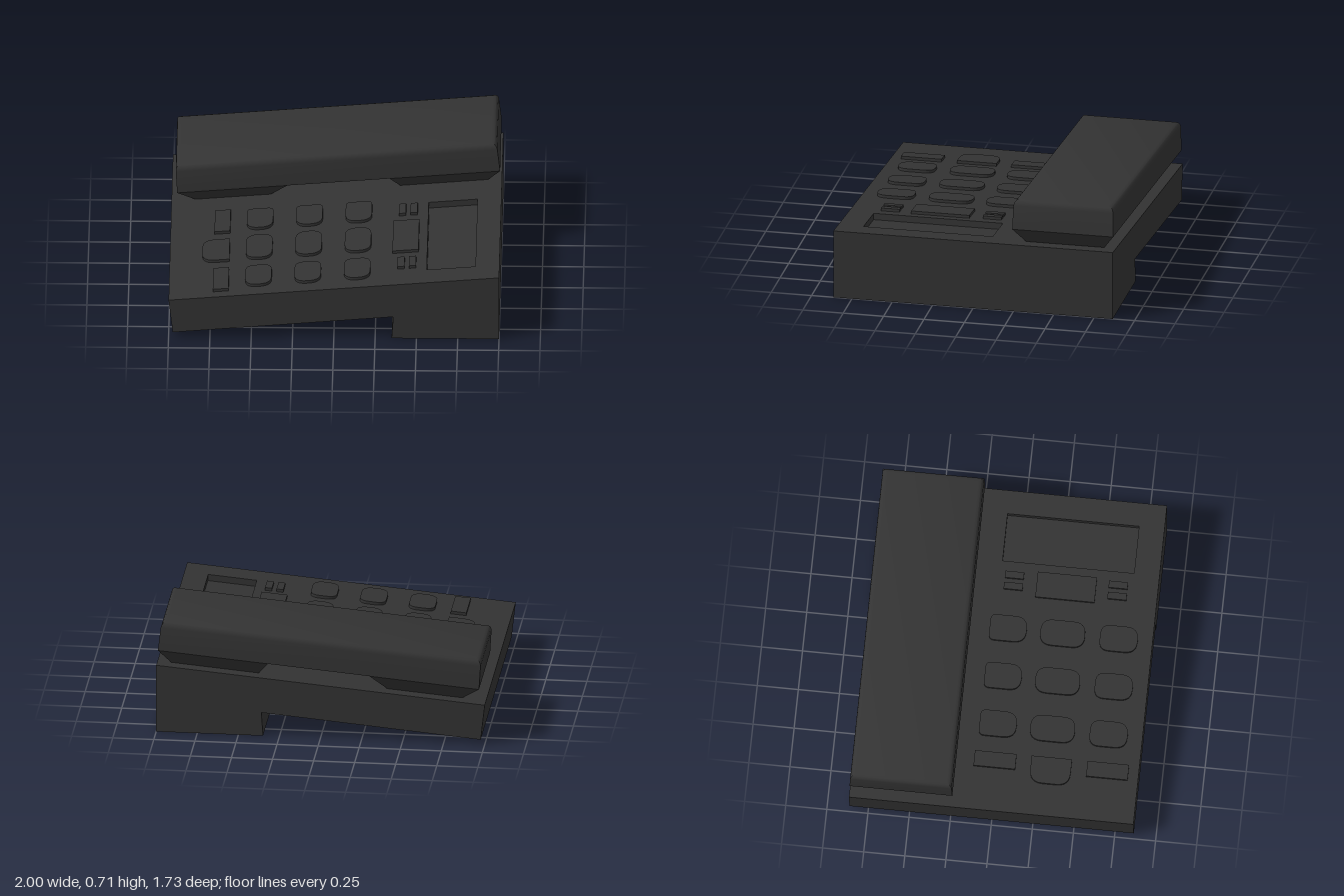
import * as THREE from 'three';
import { toCreasedNormals } from 'three/addons/utils/BufferGeometryUtils.js';

const material = new THREE.MeshStandardMaterial({ color: 0x333333 });

function addMesh(parent, name, geometry) {
  const mesh = new THREE.Mesh(geometry, material);
  mesh.name = name;
  parent.add(mesh);
  return mesh;
}

// Side profile (x, y) extruded between two depths.
function slab(points, z0, z1) {
  const shape = new THREE.Shape(points.map(([x, y]) => new THREE.Vector2(x, y)));
  return new THREE.ExtrudeGeometry(shape, { depth: z1 - z0, bevelEnabled: false }).translate(0, 0, z0);
}

// Closed solid through rectangular rings [x0, x1, z0, z1, y], listed from bottom to top.
function loft(rings) {
  const pos = [], index = [];
  for (const [x0, x1, z0, z1, y] of rings) pos.push(x0, y, z1, x1, y, z1, x1, y, z0, x0, y, z0);
  for (let r = 0; r < rings.length - 1; r++) {
    for (let i = 0; i < 4; i++) {
      const a = r * 4 + i, b = r * 4 + (i + 1) % 4;
      index.push(a, b, b + 4, a, b + 4, a + 4);
    }
  }
  const t = (rings.length - 1) * 4;
  index.push(0, 2, 1, 0, 3, 2, t, t + 1, t + 2, t, t + 2, t + 3);
  const geometry = new THREE.BufferGeometry();
  geometry.setAttribute('position', new THREE.Float32BufferAttribute(pos, 3));
  geometry.setIndex(index);
  geometry.computeVertexNormals();
  return toCreasedNormals(geometry, 0.6);
}

// Flat key with its own radius at each corner: back left, back right, front right, front left.
function keyGeometry(x0, x1, z0, z1, [bl, br, fr, fl], height) {
  const s = new THREE.Shape();
  const top = -z0, bottom = -z1;
  s.moveTo(x0 + fl, bottom);
  s.lineTo(x1 - fr, bottom);
  if (fr) s.quadraticCurveTo(x1, bottom, x1, bottom + fr);
  s.lineTo(x1, top - br);
  if (br) s.quadraticCurveTo(x1, top, x1 - br, top);
  s.lineTo(x0 + bl, top);
  if (bl) s.quadraticCurveTo(x0, top, x0, top - bl);
  s.lineTo(x0, bottom + fl);
  if (fl) s.quadraticCurveTo(x0, bottom, x0 + fl, bottom);
  const geometry = new THREE.ExtrudeGeometry(s, { depth: height + 0.01, bevelEnabled: false, curveSegments: 6 });
  return geometry.rotateX(-Math.PI / 2).translate(0, -0.01, 0);
}

export function createModel() {
  const model = new THREE.Group();
  model.name = 'deskPhone';

  // Wedge body with a foot at one end; the middle slice is notched for the screen recess
  const topY = x => 0.3425 + 0.0875 * x;
  const under = [[-1, 0.255], [-0.975, 0.03], [0.36, 0.15], [0.35, 0], [1, 0], [1, 0.43]];
  const notch = [[0.855, topY(0.855)], [0.858, topY(0.855) - 0.04], [0.563, topY(0.56) - 0.04], [0.56, topY(0.56)]];
  const body = new THREE.Group();
  body.name = 'body';
  model.add(body);
  addMesh(body, 'bodyBack', slab(under, -0.865, -0.09));
  addMesh(body, 'bodyScreenSection', slab([...under, ...notch], -0.09, 0.71));
  addMesh(body, 'bodyFront', slab(under, 0.71, 0.865));

  // Everything on the sloping top shares one tilted frame
  const deck = new THREE.Group();
  deck.name = 'slopingTop';
  deck.position.y = 0.3425;
  deck.rotation.z = Math.atan(0.0875);
  model.add(deck);

  // Number keys
  const rows = [[-0.125, 0.1, 0.035], [0.182, 0.455, 0.075], [0.545, 0.775, 0.06]];
  for (const x of [-0.46, -0.16, 0.14]) {
    for (const [z0, z1, back] of rows) {
      addMesh(deck, 'numberKey', keyGeometry(x - 0.08, x + 0.08, z0, z1, [back, back, 0.075, 0.075], 0.018));
    }
  }

  // Side keys along the low end
  const square = [0, 0, 0, 0];
  addMesh(deck, 'sideKey', keyGeometry(-0.735, -0.64, -0.135, 0.118, square, 0.018));
  addMesh(deck, 'sideKey', keyGeometry(-0.805, -0.64, 0.21, 0.455, [0.08, 0, 0, 0.08], 0.018));
  addMesh(deck, 'sideKey', keyGeometry(-0.735, -0.64, 0.55, 0.802, square, 0.018));

  // Navigation pad and small paired keys beside the screen
  addMesh(deck, 'navigationPad', keyGeometry(0.352, 0.51, 0.13, 0.49, square, 0.018));
  for (const z of [-0.066, 0.565]) {
    for (const x of [0.385, 0.455]) {
      addMesh(deck, 'smallKey', keyGeometry(x, x + 0.042, z, z + 0.115, square, 0.018));
    }
  }

  // Handset bar with softened upper edges
  const handset = new THREE.Group();
  handset.name = 'handset';
  deck.add(handset);
  const ring = (inset, y) => [-0.96 + inset, 1.002 - inset, -0.865 + inset, -0.24 - inset, y];
  addMesh(handset, 'handsetBar', loft([
    ring(0, 0.097), ring(0.004, 0.245), ring(0.008, 0.262), ring(0.018, 0.275), ring(0.035, 0.282),
  ]));

  // Tapered ear and mouth pieces resting on the body
  const pieces = [['mouthpiece', -0.96, -0.29, -0.86, -0.4], ['earpiece', 0.33, 1.002, 0.385, 0.92]];
  for (const [name, x0, x1, b0, b1] of pieces) {
    addMesh(handset, name, loft([[b0, b1, -0.795, -0.31, 0.003], [x0, x1, -0.865, -0.24, 0.097]]));
  }

  return model;
}
